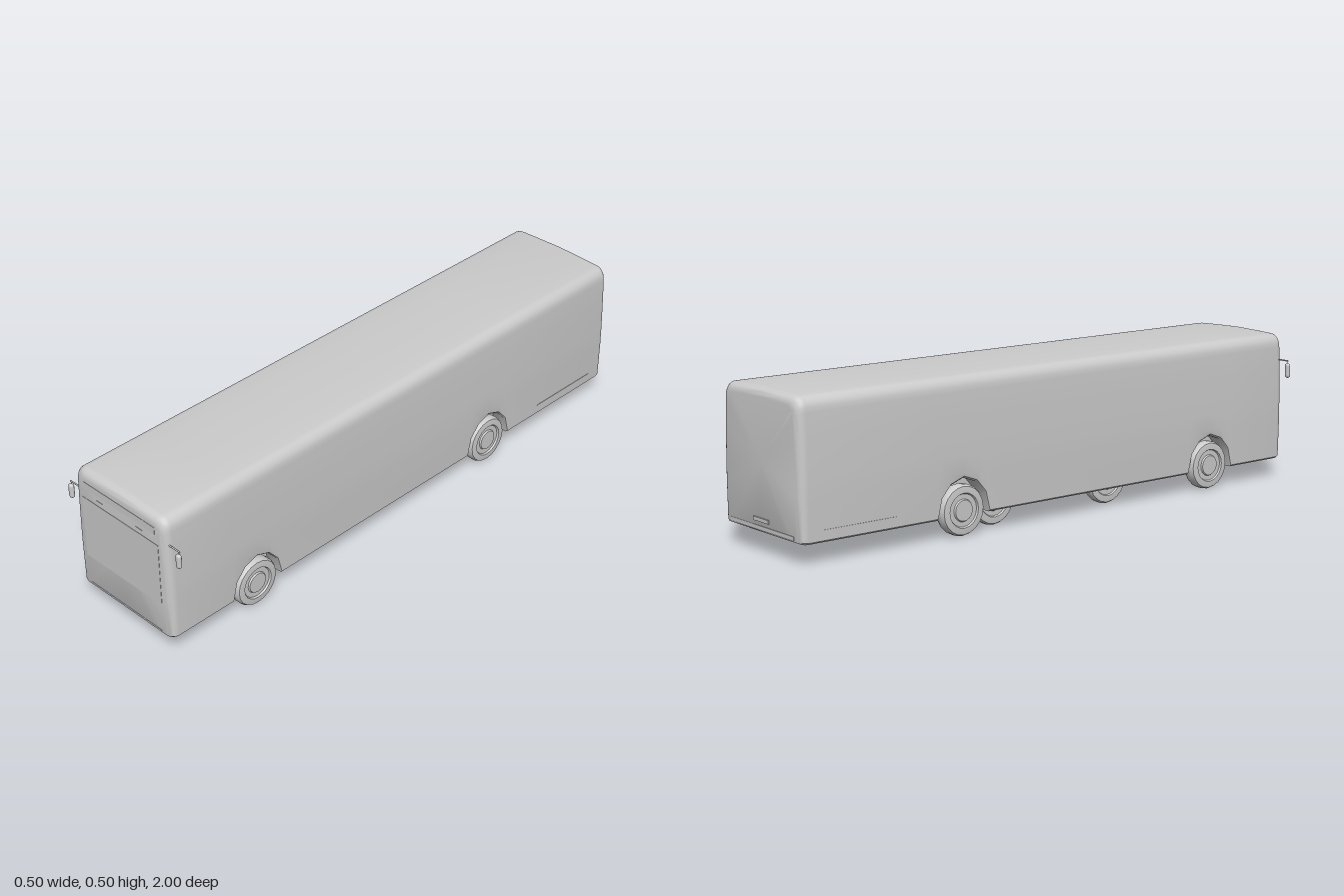
import * as THREE from 'three';
import { toCreasedNormals } from 'three/addons/utils/BufferGeometryUtils.js';

const grey = new THREE.MeshStandardMaterial({ color: 0xcccccc });
const FLOOR = 0.063, AXLES = [0.65, -0.4], INNER_AXLES = [0.24, -0.235];
// Wheel arch outline: distance from the axle, height
const ARCH = [[-0.1, FLOOR], [-0.085, 0.125], [-0.05, 0.165], [0, 0.183], [0.05, 0.165], [0.085, 0.125], [0.1, FLOOR]];

function add(group, name, geometry, x = 0, y = 0, z = 0) {
  const mesh = new THREE.Mesh(geometry, grey);
  mesh.name = name;
  mesh.position.set(x, y, z);
  group.add(mesh);
  return mesh;
}

const box = (group, name, w, h, d, x, y, z) => add(group, name, new THREE.BoxGeometry(w, h, d), x, y, z);

// Closed cross-section: a = arch height, inset = shrink towards the rounded ends
function section(z, a, inset) {
  const half = [[0, FLOOR], [0.15, FLOOR], [0.15, a], [0.199, a], [0.206, a + 0.006],
    [0.2085, 0.2], [0.208, 0.26], [0.205, 0.38], [0.202, 0.45]];
  for (let i = 1; i <= 6; i++) {
    const t = (i / 6) * Math.PI / 2;
    half.push([0.166 + 0.036 * Math.cos(t), 0.455 + 0.042 * Math.sin(t)]);
  }
  half.push([0.1, 0.4995], [0, 0.502]);
  const ring = [...half, ...half.slice(1, -1).reverse().map(([x, y]) => [-x, y])];
  return ring.map(([x, y]) => [
    x * (1 - inset / 0.208),
    y > 0.2 ? y - inset * (y - 0.2) / 0.3 : y + inset * 0.35 * (0.2 - y) / 0.137,
    z,
  ]);
}

function bodyGeometry() {
  const sections = [], r = 0.028, n = 6;
  const end = (sign, zEnd) => Array.from({ length: n + 1 }, (_, i) => {
    const t = (i / n) * Math.PI / 2;
    return section(sign * (zEnd - r + r * Math.cos(t)), FLOOR, r * (1 - Math.sin(t)));
  });
  sections.push(...end(-1, 0.996));
  for (const axle of [...AXLES].reverse())
    for (const [dz, y] of ARCH) sections.push(section(axle + dz, y, 0));
  sections.push(...end(1, 0.997).reverse());

  const m = sections[0].length, positions = sections.flat(2), index = [];
  for (let i = 0; i < sections.length - 1; i++)
    for (let j = 0; j < m; j++) {
      const k = (j + 1) % m, a = i * m, b = a + m;
      index.push(a + j, a + k, b + k, a + j, b + k, b + j);
    }
  // End caps fan out from a middle point
  const back = positions.length / 3, front = back + 1, last = (sections.length - 1) * m;
  positions.push(0, 0.28, sections[0][0][2], 0, 0.28, sections[sections.length - 1][0][2]);
  for (let j = 0; j < m; j++) {
    const k = (j + 1) % m;
    index.push(back, k, j, front, last + j, last + k);
  }
  const g = new THREE.BufferGeometry();
  g.setAttribute('position', new THREE.Float32BufferAttribute(positions, 3));
  g.setIndex(index);
  return toCreasedNormals(g, 0.6);
}

// Wheel of half width w turned around the x axis, with a recessed rim on the outer side
function wheelGeometry(w) {
  const profile = [[0, -w], [0.06, -w], [0.077, -w * 0.8], [0.081, -w * 0.4], [0.081, w * 0.5],
    [0.076, w * 0.9], [0.06, w], [0.055, w], [0.052, w - 0.006], [0.036, w - 0.006], [0.033, w - 0.001], [0, w - 0.001]];
  const g = new THREE.LatheGeometry(profile.map(([x, y]) => new THREE.Vector2(x, y)), 20);
  g.rotateZ(-Math.PI / 2);
  return toCreasedNormals(g, 0.6);
}

// Flat rectangular frame lying in the xy plane
function frameGeometry(w, h, border, depth) {
  const rect = (C, a, b) => new C([[-a, -b], [a, -b], [a, b], [-a, b]].map(([x, y]) => new THREE.Vector2(x, y)));
  const shape = rect(THREE.Shape, w / 2, h / 2);
  shape.holes.push(rect(THREE.Path, w / 2 - border, h / 2 - border));
  return new THREE.ExtrudeGeometry(shape, { depth, bevelEnabled: false });
}

export function createModel() {
  const bus = new THREE.Group();
  bus.name = 'bus';
  add(bus, 'body', bodyGeometry());

  // Front: windscreen, destination panel and bumper slot
  box(bus, 'windscreen', 0.34, 0.22, 0.002, 0, 0.29, 0.997);
  box(bus, 'destinationPanel', 0.316, 0.024, 0.003, 0, 0.447, 0.9965);
  box(bus, 'frontBumperStrip', 0.32, 0.005, 0.004, 0, 0.077, 0.996);
  for (const s of [1, -1]) box(bus, 'wiper', 0.028, 0.002, 0.003, s * 0.088, 0.418, 0.997);

  // Rear: bumper and handle
  box(bus, 'rearBumper', 0.34, 0.012, 0.006, 0, 0.08, -0.995);
  box(bus, 'rearHandle', 0.08, 0.012, 0.006, 0, 0.105, -0.997);

  for (const s of [1, -1]) {
    const side = s > 0 ? 'left' : 'right';
    // Wheels
    const wheels = [...AXLES.map(z => [0.183, z, 0.023]), ...INNER_AXLES.map(z => [0.13, z, 0.02])];
    wheels.forEach(([x, z, w], i) => {
      const wheel = add(bus, side + (i < 2 ? 'OuterWheel' : 'InnerWheel'), wheelGeometry(w), s * x, 0.081, z);
      if (s < 0) wheel.rotation.y = Math.PI;
    });
    // Mirrors on thin arms
    const arm = add(bus, side + 'MirrorArm', new THREE.CylinderGeometry(0.0025, 0.0025, 0.05, 8), s * 0.22, 0.408, 0.98);
    arm.rotation.z = Math.PI / 2;
    add(bus, side + 'MirrorStem', new THREE.CylinderGeometry(0.0015, 0.0015, 0.014, 6), s * 0.241, 0.402, 0.98);
    const mirror = add(bus, side + 'Mirror', new THREE.CapsuleGeometry(0.01, 0.031, 6, 14), s * 0.241, 0.3745, 0.982);
    mirror.scale.z = 0.8;
    // Skirt groove strip towards the rear
    box(bus, side + 'SkirtStrip', 0.002, 0.003, 0.27, s * 0.2072, 0.1, -0.785);
  }

  // Underbody: tapered tray with a lower plate, cross beam and hatch frames
  const tray = new THREE.Shape([[-0.155, 0.064], [-0.135, 0.048], [0.135, 0.048], [0.155, 0.064]]
    .map(([x, y]) => new THREE.Vector2(x, y)));
  add(bus, 'underbodyTray', new THREE.ExtrudeGeometry(tray, { depth: 0.6, bevelEnabled: false }), 0, 0, -0.27);
  box(bus, 'lowerPlate', 0.21, 0.014, 0.34, 0, 0.043, 0.01);
  box(bus, 'crossBeam', 0.21, 0.01, 0.04, 0, 0.045, -0.235);
  for (const [z, length] of [[0.86, 0.22], [-0.76, 0.36]]) {
    const hatch = add(bus, 'floorHatchFrame', frameGeometry(0.34, length, 0.006, 0.003), 0, 0.0615, z);
    hatch.rotation.x = -Math.PI / 2;
  }
  return bus;
}
